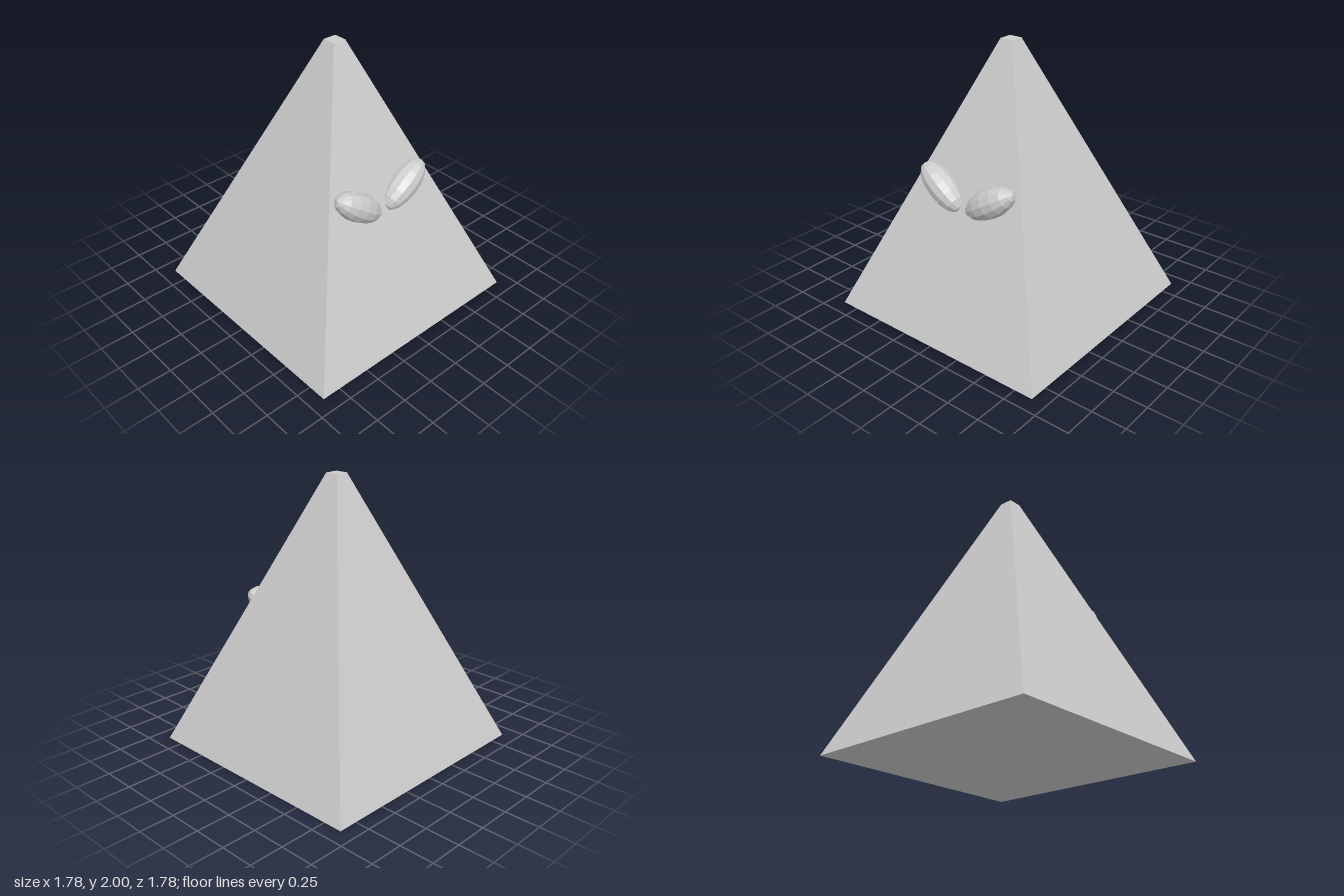
import * as THREE from 'three';

export function createModel() {
  const model = new THREE.Group();
  const material = new THREE.MeshStandardMaterial({ color: 0xcccccc, flatShading: true });

  // Square tapering body with a small flat tip
  const bodyGeometry = new THREE.CylinderGeometry(0.05 * Math.SQRT2, 0.89 * Math.SQRT2, 2, 4);
  bodyGeometry.rotateY(Math.PI / 4);
  bodyGeometry.translate(0, 1, 0);
  const body = new THREE.Mesh(bodyGeometry, material);
  body.name = 'pyramidBody';
  model.add(body);

  // Faceted ellipsoid eyes, poles along the long axis, slanting up and outward
  const addEye = (name, x, slant) => {
    const geometry = new THREE.SphereGeometry(1, 12, 8);
    geometry.rotateZ(Math.PI / 2);
    geometry.scale(0.22, 0.105, 0.108);
    geometry.rotateZ(slant);
    geometry.rotateX(-0.1); // lean back with the sloping face
    const eye = new THREE.Mesh(geometry, material);
    eye.name = name;
    eye.position.set(x, 1.01, 0.483);
    model.add(eye);
  };
  addEye('leftEye', 0.212, 0.56);
  addEye('rightEye', -0.219, -0.61);

  return model;
}
